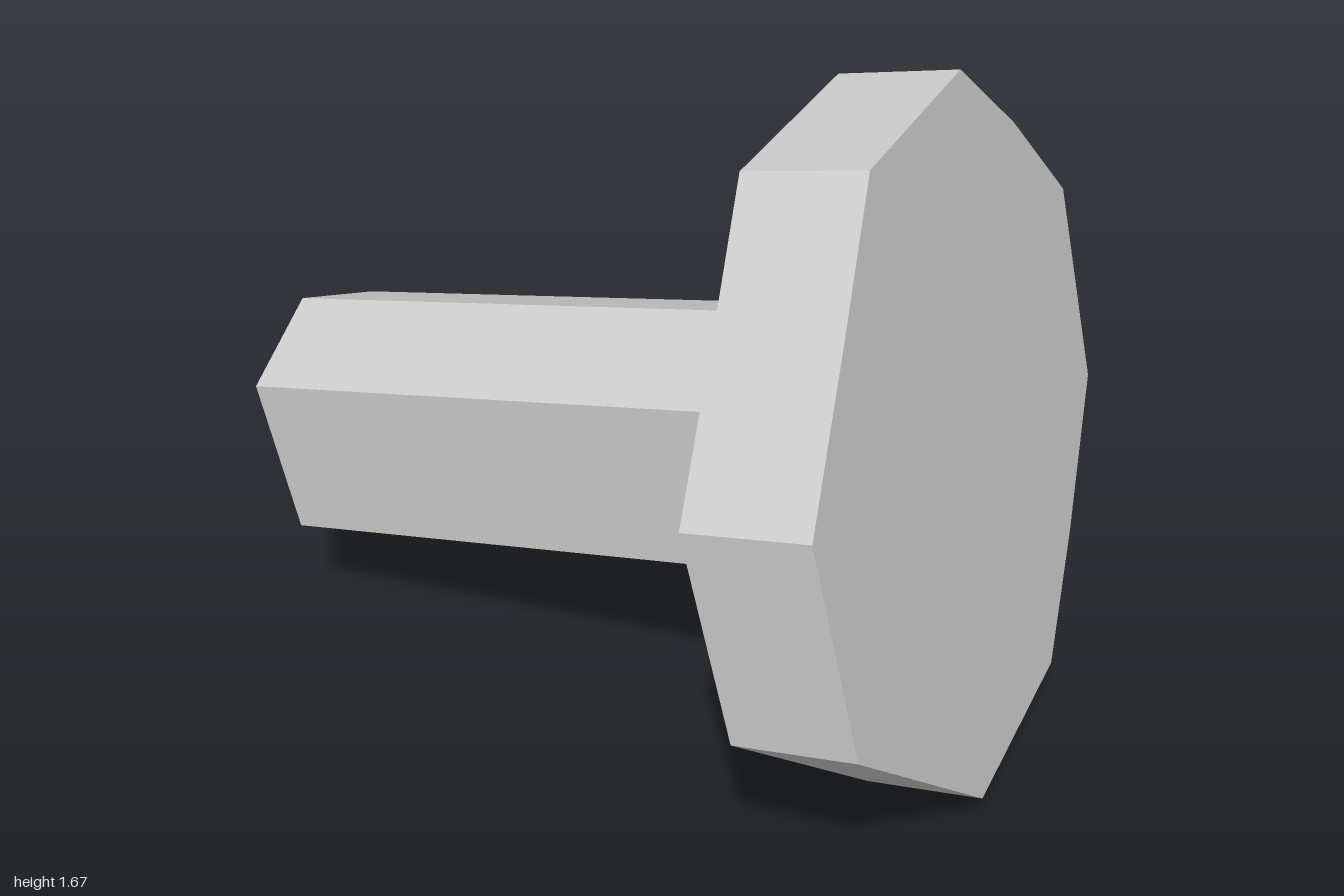
import * as THREE from 'three';

const material = new THREE.MeshStandardMaterial({ color: 0xcccccc, flatShading: true });

// The bolt leans along the axis (1, 0.2, 0.033); sections lie square to it.
const SLOPE_Y = 0.2, SLOPE_Z = 0.033;

// Places [z, y] outline points on the cross plane with the given offset.
const section = (offset, outline) =>
  outline.map(([z, y]) => new THREE.Vector3(offset - SLOPE_Y * y - SLOPE_Z * z, y, z));

// Slides a section along the axis by dx.
const slide = (ring, dx) =>
  ring.map((p) => p.clone().add(new THREE.Vector3(dx, dx * SLOPE_Y, dx * SLOPE_Z)));

// Joins two rings with flat sides, with optional end caps.
function loft(name, back, front, capBack, capFront) {
  const points = [];
  const centre = (ring) =>
    ring.reduce((sum, p) => sum.add(p), new THREE.Vector3()).divideScalar(ring.length);
  const cb = centre(back), cf = centre(front);
  back.forEach((a, i) => {
    const j = (i + 1) % back.length;
    points.push(a, back[j], front[i], back[j], front[j], front[i]);
    if (capBack) points.push(cb, back[j], a);
    if (capFront) points.push(cf, front[i], front[j]);
  });
  const geometry = new THREE.BufferGeometry().setFromPoints(points);
  geometry.computeVertexNormals();
  const mesh = new THREE.Mesh(geometry, material);
  mesh.name = name;
  return mesh;
}

export function createModel() {
  const group = new THREE.Group();
  group.name = 'bolt';

  // Six-sided shaft
  const shaftEnd = section(-0.833, [
    [-0.03, 0.835], [0.225, 0.70], [0.2, 0.29], [-0.085, 0.195], [-0.34, 0.33], [-0.31, 0.74],
  ]);
  const shaftTop = slide(shaftEnd, 1.425);
  group.add(loft('shaft', shaftEnd, shaftTop, true, false));

  // Collar flaring from the six-sided shaft to a four-cornered base
  const collarBase = section(0.713, [
    [0.025, 1.125], [0.352, 1.105], [0.303, 0.475], [-0.025, 0.496], [-0.353, 0.517], [-0.303, 1.146],
  ]);
  group.add(loft('collar', shaftTop, collarBase, false, false));

  // Flat head, eight corners with three slightly bent sides
  const headFace = section(1.01, [
    [0.335, 1.63], [0.56, 1.363], [0.827, 1.06], [0.785, 0.54], [0.203, 0.06], [-0.328, 0.105],
    [-0.56, 0.35], [-0.82, 0.673], [-0.775, 1.195], [-0.485, 1.46], [-0.198, 1.672],
  ]);
  group.add(loft('head', slide(headFace, -0.285), headFace, true, true));

  return group;
}
